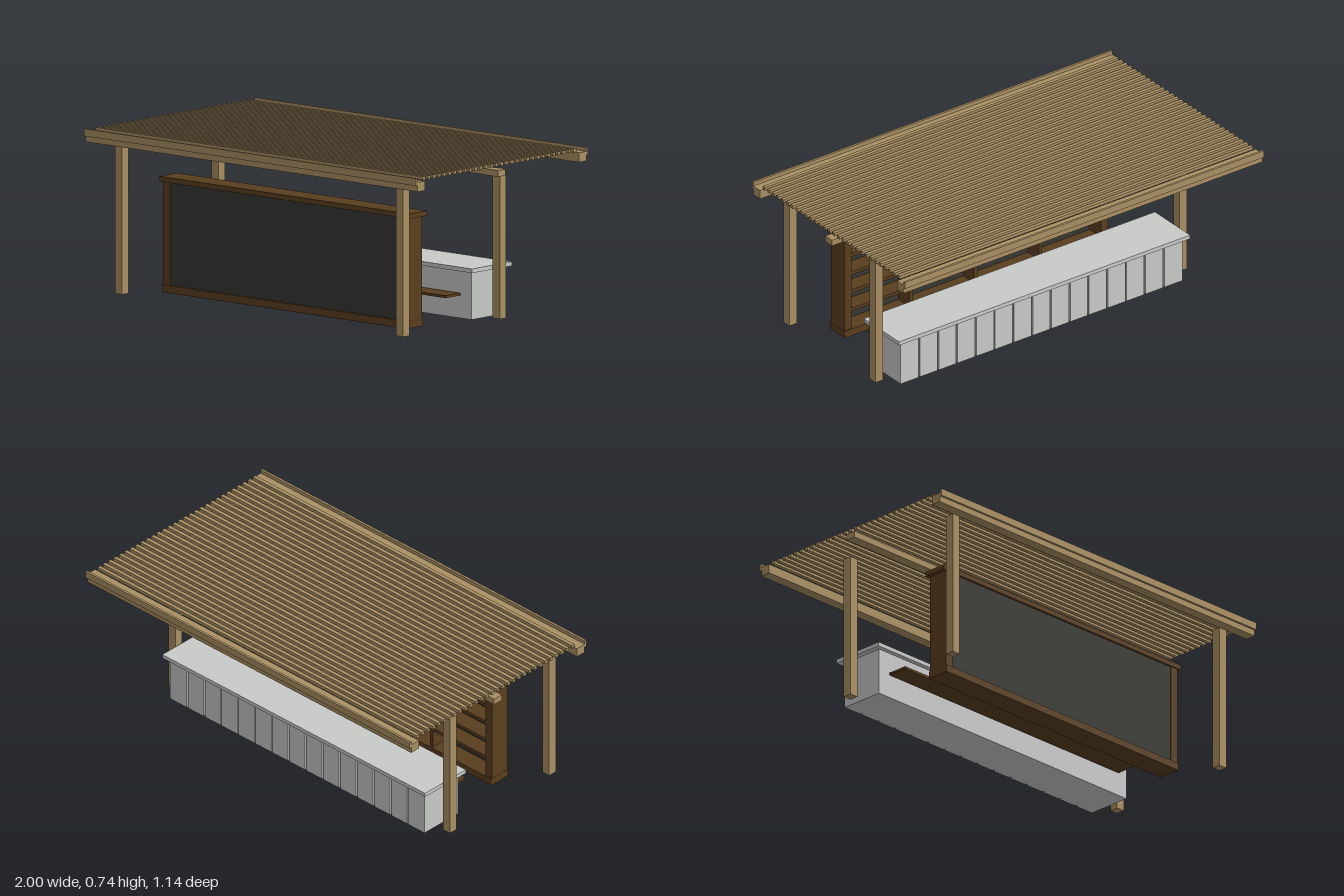
import * as THREE from 'three';

const wood = new THREE.MeshStandardMaterial({ name: 'light timber', color: 0xa98f63 });
const brown = new THREE.MeshStandardMaterial({ name: 'dark timber', color: 0x5a3e1f });
const board = new THREE.MeshStandardMaterial({ name: 'charcoal board', color: 0x363832 });
const stone = new THREE.MeshStandardMaterial({ name: 'pale grey', color: 0xc8cac8 });

// Box given by its extents along each axis
function box(parent, name, material, [x0, x1], [y0, y1], [z0, z1]) {
  const mesh = new THREE.Mesh(new THREE.BoxGeometry(x1 - x0, y1 - y0, z1 - z0), material);
  mesh.position.set((x0 + x1) / 2, (y0 + y1) / 2, (z0 + z1) / 2);
  mesh.name = name;
  parent.add(mesh);
}

function group(parent, name) {
  const g = new THREE.Group();
  g.name = name;
  parent.add(g);
  return g;
}

function buildPergola(parent) {
  const g = group(parent, 'pergola');
  // Four posts, the rear pair set well forward of the roof edge
  for (const x of [-0.847, 0.847]) {
    for (const [name, z] of [['frontPost', 0.491], ['rearPost', -0.152]]) {
      box(g, name, wood, [x - 0.0215, x + 0.0215], [0, 0.678], [z - 0.0215, z + 0.0215]);
    }
  }
  // Edge beams with raised fascia boards, and the middle beam
  box(g, 'frontBeam', wood, [-1, 1], [0.678, 0.721], [0.511, 0.561]);
  box(g, 'rearBeam', wood, [-1, 1], [0.678, 0.721], [-0.561, -0.511]);
  box(g, 'frontFascia', wood, [-1, 1], [0.706, 0.739], [0.561, 0.572]);
  box(g, 'rearFascia', wood, [-1, 1], [0.706, 0.739], [-0.572, -0.561]);
  box(g, 'middleBeam', wood, [-1, 1], [0.679, 0.708], [-0.025, 0.025]);
  // Roof slats
  const count = 30;
  for (let i = 0; i < count; i++) {
    const z = -0.502 + (1.004 * i) / (count - 1);
    box(g, 'roofSlat', wood, [-0.985, 0.985], [0.723, 0.739], [z - 0.009, z + 0.009]);
  }
}

function buildShelving(parent) {
  const g = group(parent, 'shelving');
  box(g, 'base', brown, [-0.736, 0.736], [0, 0.034], [0.233, 0.343]);
  box(g, 'cap', brown, [-0.752, 0.752], [0.5, 0.523], [0.225, 0.343]);
  for (const s of [-1, 1]) {
    const x = s * 0.715;
    box(g, 'sidePanel', brown, [x - 0.02, x + 0.02], [0.034, 0.5], [0.238, 0.338]);
  }
  box(g, 'backBoard', board, [-0.695, 0.695], [0.034, 0.5], [0.322, 0.332]);
  // Uprights and shelves, open towards the counter
  for (const x of [-0.36, 0, 0.36]) {
    box(g, 'divider', brown, [x - 0.009, x + 0.009], [0.034, 0.5], [0.24, 0.322]);
  }
  for (let i = 1; i <= 4; i++) {
    const y = 0.034 + (0.466 * i) / 5;
    box(g, 'shelf', brown, [-0.695, 0.695], [y - 0.008, y + 0.008], [0.242, 0.322]);
  }
}

function buildCounter(parent) {
  const g = group(parent, 'counter');
  box(g, 'counterBody', stone, [-0.785, 0.785], [0, 0.217], [-0.241, -0.033]);
  box(g, 'counterTop', stone, [-0.811, 0.811], [0.217, 0.236], [-0.274, -0.01]);
  // Cladding boards with narrow gaps on the customer side
  const count = 15;
  const pitch = 1.57 / count;
  for (let i = 0; i < count; i++) {
    const x = -0.785 + i * pitch;
    const x0 = i === 0 ? x : x + 0.004;
    const x1 = i === count - 1 ? x + pitch : x + pitch - 0.004;
    box(g, 'claddingBoard', stone, [x0, x1], [0, 0.213], [-0.25, -0.241]);
  }
  box(g, 'lowShelf', brown, [-0.728, 0.728], [0.105, 0.116], [-0.025, 0.075]);
}

export function createModel() {
  const model = new THREE.Group();
  model.name = 'pergolaBar';
  buildPergola(model);
  buildShelving(model);
  buildCounter(model);
  return model;
}
